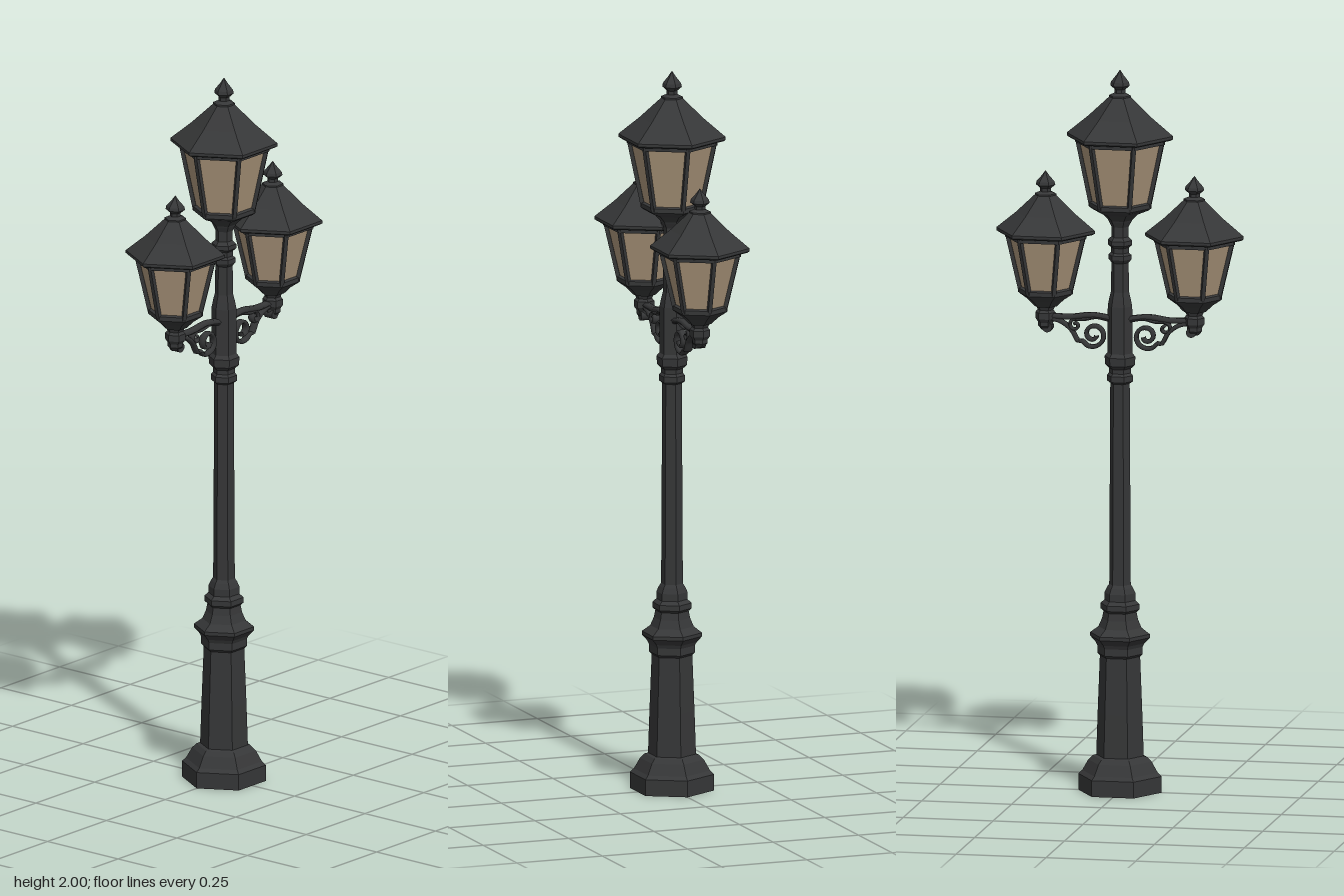
import * as THREE from 'three';

const iron = new THREE.MeshStandardMaterial({ color: 0x363738 });
iron.name = 'darkIron';
const glass = new THREE.MeshStandardMaterial({ color: 0xaa957a });
glass.name = 'warmGlass';

const SIDES = 6;

function add(parent, name, geometry, material) {
  const mesh = new THREE.Mesh(geometry, material);
  mesh.name = name;
  parent.add(mesh);
  return mesh;
}

// Flat-faced hexagonal turning, corners on the x axis; profile runs [radius, y] upwards
function hexTurn(parent, name, profile, material = iron) {
  const points = profile.map(([r, y]) => new THREE.Vector2(r, y));
  const geometry = new THREE.LatheGeometry(points, SIDES, Math.PI / 2).toNonIndexed();
  geometry.computeVertexNormals();
  return add(parent, name, geometry, material);
}

// Square bar between two points
function bar(parent, name, a, b, width) {
  const mesh = add(parent, name, new THREE.BoxGeometry(width, width, a.distanceTo(b)), iron);
  mesh.position.copy(a).lerp(b, 0.5);
  mesh.lookAt(b);
  return mesh;
}

// Lantern with its origin at the bottom of the cage
function lantern({ name, bottom, top, height, eave, roofTop, tip }) {
  const group = new THREE.Group();
  group.name = name;
  hexTurn(group, 'lanternCup', [
    [0, -0.036], [0.032, -0.036], [0.042, -0.026], [0.05, -0.018], [bottom - 0.004, -0.006],
    [bottom + 0.004, 0], [bottom + 0.004, 0.012], [bottom - 0.006, 0.016], [0, 0.016],
  ]);
  hexTurn(group, 'lanternGlass', [[bottom - 0.006, 0.01], [top - 0.006, height]], glass);
  for (let i = 0; i < SIDES; i++) {
    const angle = (i * Math.PI) / 3;
    const at = (r, y) => new THREE.Vector3(r * Math.cos(angle), y, r * Math.sin(angle));
    bar(group, 'cornerPost', at(bottom - 0.003, 0.004), at(top - 0.003, height), 0.011);
  }
  hexTurn(group, 'topRim', [
    [top - 0.012, height - 0.012], [top + 0.003, height - 0.012], [top + 0.004, height + 0.004],
  ]);
  hexTurn(group, 'roof', [
    [0, height], [eave - 0.006, height], [eave, height + 0.004], [eave, height + 0.012],
    [eave * 0.6, height + 0.012 + (roofTop - height) * 0.42],
    [0.03, roofTop], [0, roofTop],
  ]);
  // Ringed finial with a pointed bud
  const h = tip - roofTop;
  hexTurn(group, 'finial', [
    [0.03, roofTop - 0.004], [0.03, roofTop + h * 0.06], [0.015, roofTop + h * 0.15],
    [0.015, roofTop + h * 0.28], [0.027, roofTop + h * 0.42], [0.025, roofTop + h * 0.55],
    [0.01, roofTop + h * 0.8], [0, tip],
  ]);
  return group;
}

// Flattened rod following points in the xy plane
function scroll(parent, name, points, radius, depth) {
  const curve = new THREE.CatmullRomCurve3(points.map(([x, y]) => new THREE.Vector3(x, y, 0)));
  const mesh = add(parent, name, new THREE.TubeGeometry(curve, 48, radius, 6), iron);
  mesh.scale.z = depth;
}

// Inward spiral starting at a given angle
function spiral(cx, cy, radius, start, turns) {
  const points = [];
  const steps = 14;
  for (let i = 0; i <= steps; i++) {
    const t = i / steps;
    const angle = start + t * turns * Math.PI * 2;
    const r = radius * (1 - 0.75 * t);
    points.push([cx + r * Math.cos(angle), cy + r * Math.sin(angle)]);
  }
  return points;
}

// Bracket reaching out to +x with a side lantern on its end
function sideArm(name) {
  const arm = new THREE.Group();
  arm.name = name;
  scroll(arm, 'topRail', [[0.02, 1.31], [0.08, 1.317], [0.14, 1.31], [0.207, 1.312]], 0.008, 1.7);
  scroll(arm, 'largeScroll', [
    [0.2, 1.305], [0.165, 1.297], [0.135, 1.275], [0.115, 1.243],
    ...spiral(0.074, 1.263, 0.037, -0.5, -1.4),
  ], 0.0065, 2);
  scroll(arm, 'smallScroll', [
    [0.03, 1.305], [0.065, 1.311], [0.1, 1.304], ...spiral(0.125, 1.287, 0.017, 1.6, -1.1),
  ], 0.005, 2.4);
  // Socket and hanging curl below the lantern
  hexTurn(arm, 'lanternSocket', [
    [0, 1.272], [0.012, 1.272], [0.021, 1.283], [0.021, 1.293], [0.028, 1.303],
    [0.028, 1.32], [0.022, 1.327], [0.03, 1.345],
  ]).position.x = 0.207;
  const curl = add(arm, 'hangingCurl', new THREE.CylinderGeometry(0.014, 0.014, 0.03, 10), iron);
  curl.rotation.x = Math.PI / 2;
  curl.position.set(0.2, 1.28, 0);
  const lamp = lantern({
    name: 'sideLantern', bottom: 0.072, top: 0.11, height: 0.165,
    eave: 0.137, roofTop: 0.272, tip: 0.34,
  });
  lamp.position.set(0.207, 1.373, 0);
  arm.add(lamp);
  return arm;
}

export function createModel() {
  const model = new THREE.Group();
  model.name = 'streetLamp';

  hexTurn(model, 'pedestal', [
    [0, 0], [0.116, 0], [0.116, 0.045], [0.105, 0.055], [0.088, 0.085], [0.076, 0.097],
    [0.066, 0.1], [0.062, 0.22], [0.056, 0.375], [0.063, 0.382], [0.063, 0.402],
    [0.068, 0.412], [0.083, 0.428], [0.083, 0.438], [0.06, 0.455], [0.05, 0.478],
    [0.046, 0.498], [0.054, 0.505], [0.054, 0.52], [0.043, 0.53], [0.043, 0.55],
    [0.036, 0.565], [0.029, 0.575],
  ]);
  hexTurn(model, 'pole', [[0.03, 0.56], [0.027, 1.14]]);
  hexTurn(model, 'upperPole', [
    [0.026, 1.13], [0.036, 1.137], [0.036, 1.153], [0.03, 1.16], [0.03, 1.172],
    [0.041, 1.182], [0.043, 1.205], [0.035, 1.215], [0.034, 1.345], [0.03, 1.365],
    [0.025, 1.385], [0.024, 1.465], [0.032, 1.475], [0.032, 1.487], [0.025, 1.493],
    [0.025, 1.507], [0.034, 1.515], [0.034, 1.527], [0.024, 1.537], [0.024, 1.565],
    [0.032, 1.58], [0.036, 1.59],
  ]);

  const mainLantern = lantern({
    name: 'mainLantern', bottom: 0.083, top: 0.122, height: 0.19,
    eave: 0.148, roofTop: 0.306, tip: 0.382,
  });
  mainLantern.position.y = 1.618;
  model.add(mainLantern);

  const leftArm = sideArm('leftArm');
  const rightArm = sideArm('rightArm');
  rightArm.rotation.y = Math.PI;
  model.add(leftArm, rightArm);
  return model;
}
